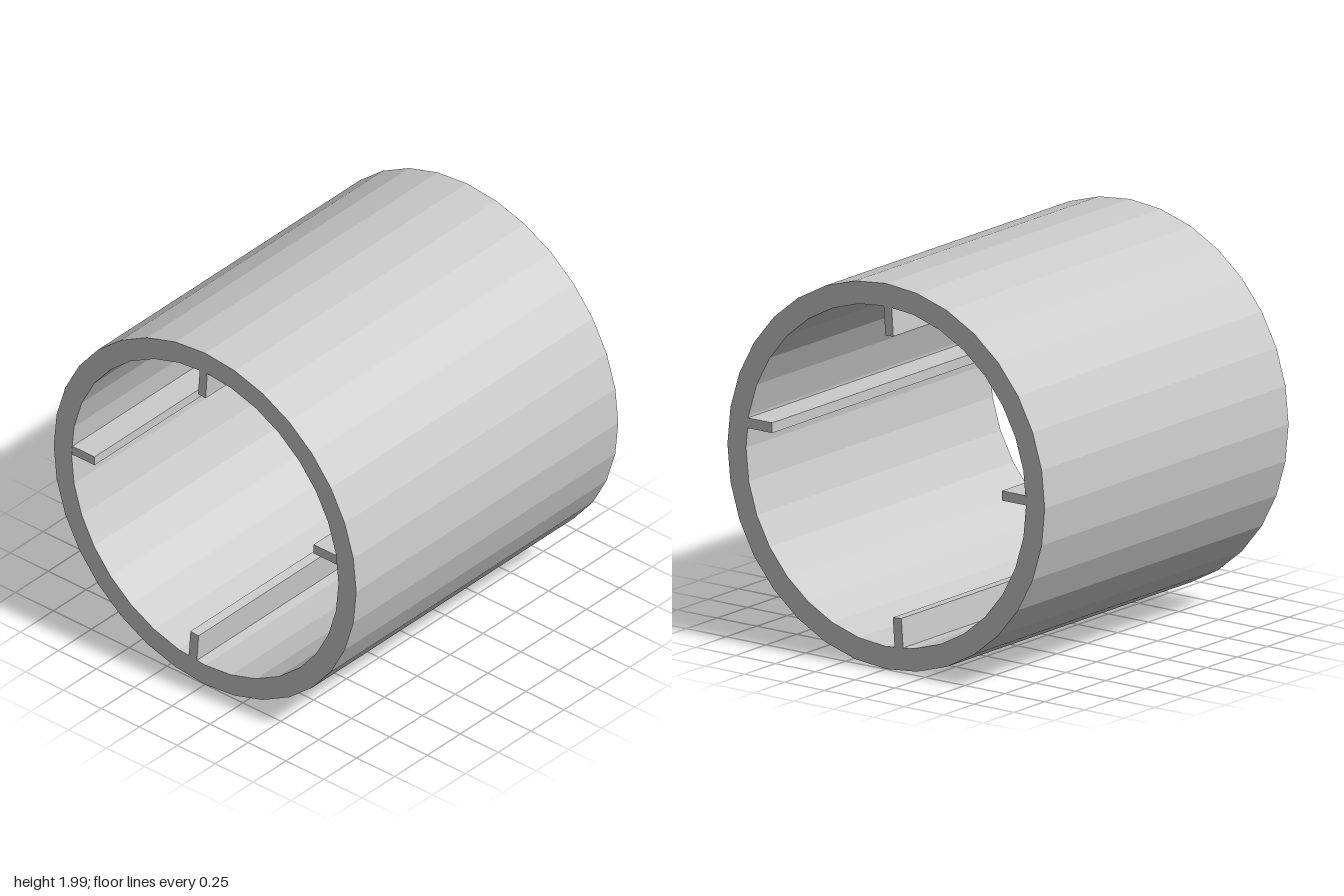
import * as THREE from 'three';

const SIDES = 32, OUTER = 0.997, INNER = 0.88, CENTER_Y = 1.002;
const BACK = -0.995, FRONT = 1;

// Closed regular polygon, first corner on +x
function polygon(radius) {
  return Array.from({ length: SIDES }, (_, i) => {
    const a = (i / SIDES) * Math.PI * 2;
    return new THREE.Vector2(Math.cos(a) * radius, Math.sin(a) * radius);
  });
}

export function createModel() {
  const group = new THREE.Group();
  group.name = 'ribbedTube';
  const material = new THREE.MeshStandardMaterial({ color: 0xcccccc, flatShading: true });

  // Hollow faceted tube, open along z
  const ring = new THREE.Shape(polygon(OUTER));
  ring.holes.push(new THREE.Path(polygon(INNER)));
  const tubeGeometry = new THREE.ExtrudeGeometry(ring, { depth: FRONT - BACK, bevelEnabled: false });
  const tube = new THREE.Mesh(tubeGeometry, material);
  tube.name = 'tubeWall';
  tube.position.set(0, CENTER_Y, BACK);
  group.add(tube);

  // Four inner ribs along the length: centre x, y, width, height, tilt, back end, front end
  const ribs = [
    ['topRib', -0.015, 1.81, 0.05, 0.16, -0.07, BACK, FRONT],
    ['bottomRib', -0.075, 0.201, 0.054, 0.16, -0.07, BACK, FRONT],
    ['leftRib', 0.792, 1.133, 0.16, 0.053, 0, -1, 0.995],
    ['rightRib', -0.81, 1.025, 0.16, 0.05, 0, -0.998, 0.998],
  ];
  for (const [name, x, y, w, h, tilt, back, front] of ribs) {
    const rib = new THREE.Mesh(new THREE.BoxGeometry(w, h, front - back), material);
    rib.name = name;
    rib.position.set(x, y, (front + back) / 2);
    rib.rotation.z = tilt;
    group.add(rib);
  }
  return group;
}
